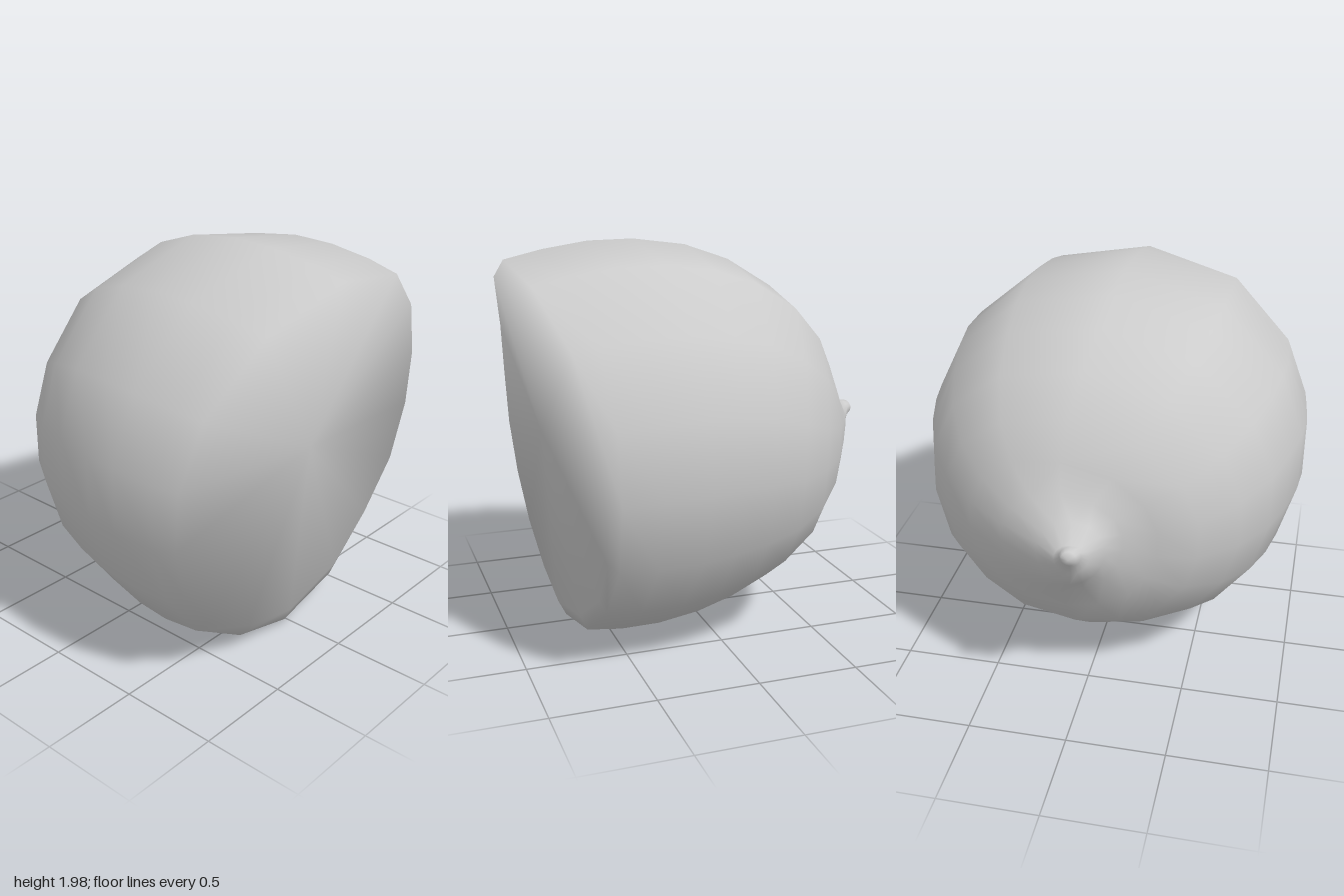
import * as THREE from 'three';

// Cross-sections from the wide cut end (+x) to the pointed tip (-x).
// Each row: top x,y | bottom x,y | back x,z | front x,z
const SECTIONS = [
  [0.94, 1.9, 0.72, 0.1, 0.72, -0.96, 0.79, 0.97],
  [0.75, 1.945, 0.68, 0.02, 0.65, -0.985, 0.65, 0.985],
  [0.52, 1.98, 0.5, 0.0, 0.45, -1, 0.43, 1],
  [0.29, 1.985, 0.31, 0.005, 0.23, -1, 0.25, 0.985],
  [0.02, 1.95, 0.09, 0.04, 0.08, -0.975, 0.03, 0.94],
  [-0.21, 1.87, -0.1, 0.1, -0.1, -0.93, -0.18, 0.87],
  [-0.43, 1.73, -0.3, 0.2, -0.28, -0.86, -0.38, 0.74],
  [-0.58, 1.55, -0.5, 0.36, -0.45, -0.74, -0.55, 0.56],
  [-0.66, 1.38, -0.61, 0.53, -0.6, -0.57, -0.62, 0.37],
  [-0.72, 1.24, -0.72, 0.7, -0.72, -0.37, -0.65, 0.21],
  [-0.79, 1.15, -0.84, 0.83, -0.83, -0.17, -0.77, 0.15],
  [-0.86, 1.065, -0.88, 0.92, -0.88, -0.07, -0.84, 0.09],
  [-0.89, 1.075, -0.91, 0.98, -0.91, -0.035, -0.89, 0.065],
  [-0.92, 1.07, -0.93, 1.0, -0.935, -0.02, -0.925, 0.05],
];
// Uneven outline: degrees from the top towards the front, radius factor, x shift of the rim
const OUTLINE = [
  [2, 1, 0], [33, 1.01, 0.01], [60, 1.01, 0], [80, 1.015, 0],
  [98.5, 1.01, -0.01], [117, 1.02, -0.02], [136, 1.02, -0.02], [157, 1, -0.01],
  [178, 1, 0], [203, 0.99, -0.02], [225, 0.985, -0.04], [246, 1, -0.03],
  [266.5, 1, -0.01], [286, 1.02, 0], [308, 1.03, 0], [332.5, 1.03, 0.01],
];
const CUT_CENTRE = [0.785, 1.04, 0.02];
const TIP = [-0.94, 1.035, 0.015];

// A tilted oval through the four extreme points of a section
function sectionPoint([tx, ty, bx, by, kx, kz, fx, fz], [degrees, radius, shift], row) {
  const angle = THREE.MathUtils.degToRad(degrees);
  const c = Math.cos(angle), s = Math.sin(angle);
  const rimShift = shift * Math.max(0, 1 - row / 2);
  const x = c * c * (c > 0 ? tx : bx) + s * s * (s > 0 ? fx : kx) + rimShift;
  const y = (ty + by) / 2 + (radius * c * (ty - by)) / 2;
  const z = (fz + kz) / 2 + (radius * s * (fz - kz)) / 2;
  return [x, y, z];
}

function buildBody() {
  const sides = OUTLINE.length, last = SECTIONS.length - 1;
  const positions = SECTIONS.flatMap((section, row) =>
    OUTLINE.flatMap((corner) => sectionPoint(section, corner, row)));
  const centre = positions.length / 3, tip = centre + 1;
  positions.push(...CUT_CENTRE, ...TIP);

  const skin = [], cut = [];
  for (let j = 0; j < sides; j++) {
    const k = (j + 1) % sides;
    // skin between neighbouring sections
    for (let i = 0; i < last; i++) {
      const a = i * sides + j, b = i * sides + k;
      skin.push(a, a + sides, b, b, a + sides, b + sides);
    }
    // closing fan at the tip
    skin.push(last * sides + j, tip, last * sides + k);
    // slightly dished cut end
    cut.push(centre, j, k);
  }

  // The skin's normals carry over the rim; a short centre normal lets them dominate the cut end
  const geometry = new THREE.BufferGeometry();
  geometry.setAttribute('position', new THREE.Float32BufferAttribute(positions, 3));
  geometry.setIndex(skin);
  geometry.computeVertexNormals();
  geometry.attributes.normal.setXYZ(centre, 0.3, -0.03, 0);
  geometry.setIndex([...skin, ...cut]);
  return geometry;
}

export function createModel() {
  const group = new THREE.Group();
  group.name = 'halvedBulb';
  const body = new THREE.Mesh(buildBody(), new THREE.MeshStandardMaterial({ color: 0xcccccc }));
  body.name = 'bulbBody';
  group.add(body);
  return group;
}
